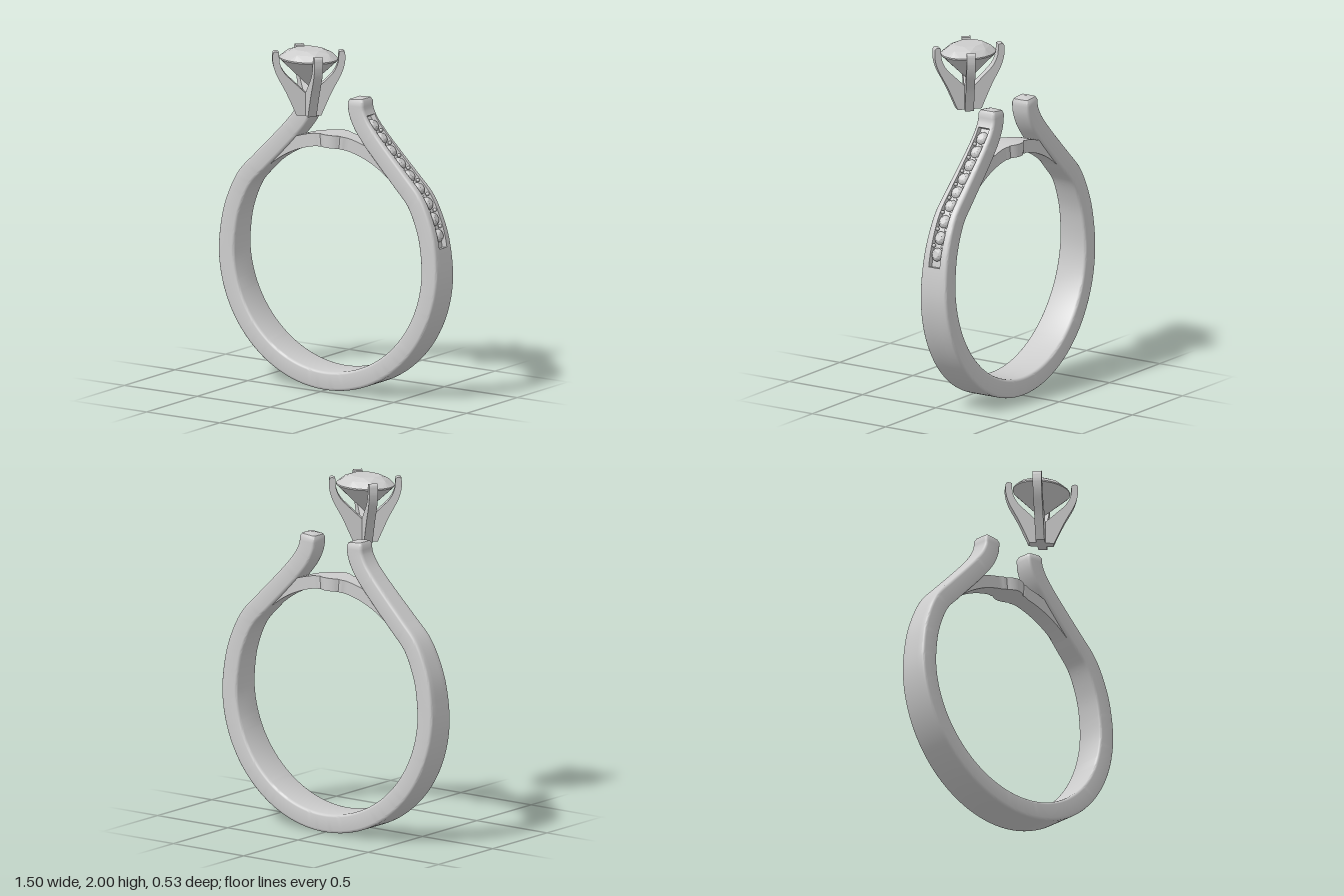
import * as THREE from 'three';
import { toCreasedNormals } from 'three/addons/utils/BufferGeometryUtils.js';
import { ConvexGeometry } from 'three/addons/geometries/ConvexGeometry.js';

const BAND_Z = -0.15, HALF_THICK = 0.054;
const V = (x, y, z = 0) => new THREE.Vector3(x, y, z);
const material = new THREE.MeshStandardMaterial({ color: 0xcccccc });
const stoneMaterial = new THREE.MeshStandardMaterial({ color: 0xcccccc, flatShading: true });

function add(parent, name, geometry, mat = material) {
  const mesh = new THREE.Mesh(geometry, mat);
  mesh.name = name;
  parent.add(mesh);
  return mesh;
}

// Skin a list of closed cross-sections and cap both ends
function loft(rings, crease = 0.7) {
  const out = [];
  const tri = (a, b, c) => {
    const area = b.clone().sub(a).cross(c.clone().sub(a)).length();
    if (area > 1e-10) for (const p of [a, b, c]) out.push(p.x, p.y, p.z);
  };
  const n = rings[0].length;
  const middle = (ring) => ring.reduce((s, p) => s.add(p), V(0, 0)).divideScalar(n);
  const first = rings[0], last = rings[rings.length - 1];
  const c0 = middle(first), c1 = middle(last);
  for (let j = 0; j < n; j++) {
    const k = (j + 1) % n;
    for (let i = 0; i < rings.length - 1; i++) {
      tri(rings[i][j], rings[i][k], rings[i + 1][k]);
      tri(rings[i][j], rings[i + 1][k], rings[i + 1][j]);
    }
    tri(c0, first[k], first[j]);
    tri(c1, last[j], last[k]);
  }
  const g = new THREE.BufferGeometry();
  g.setAttribute('position', new THREE.Float32BufferAttribute(out, 3));
  return toCreasedNormals(g, crease);
}

// Centre line of the band: right tip, round the bottom, left tip
function bandPath() {
  const half = [[0.167, 1.67], [0.172, 1.62], [0.205, 1.55], [0.265, 1.475], [0.375, 1.36],
    [0.48, 1.255], [0.58, 1.15], [0.645, 1.02]].map(([x, y]) => V(x, y));
  for (let deg = 12; deg >= -90; deg -= 17) {
    const a = THREE.MathUtils.degToRad(deg);
    half.push(V(0.695 * Math.cos(a), 0.75 + 0.695 * Math.sin(a)));
  }
  const mirrored = half.slice(0, -1).reverse().map((p) => V(-p.x, p.y));
  const curve = new THREE.CatmullRomCurve3([...half, ...mirrored]);
  curve.arcLengthDivisions = 800;
  return curve;
}

function frameAt(curve, u) {
  const p = curve.getPointAt(u), t = curve.getTangentAt(u);
  return { p, t, n: V(-t.y, t.x) };
}

// First position along the path that has dropped to height y
function findHeight(curve, y) {
  let u = 0;
  while (curve.getPointAt(u).y > y) u += 0.001;
  return u;
}

// Rounded rectangle section with an optional groove in its outer side
function bandSection({ p, t, n }, depth, scale = 1, push = 0) {
  const w = 0.115 - 0.035 * p.y, h = HALF_THICK, r = 0.016, g = 0.037;
  const pts = [[h, -g], [h - depth, -g], [h - depth, g], [h, g]];
  [[1, 1], [-1, 1], [-1, -1], [1, -1]].forEach(([sn, sz], q) => {
    for (let i = 0; i <= 3; i++) {
      const a = (q + i / 3) * Math.PI / 2;
      pts.push([sn * (h - r) + r * Math.cos(a), sz * (w - r) + r * Math.sin(a)]);
    }
  });
  return pts.map(([a, z]) => p.clone().addScaledVector(n, a * scale)
    .addScaledVector(t, push).add(V(0, 0, z * scale + BAND_Z)));
}

function bandGeometry(curve, u0, u1) {
  const N = 200, rings = [];
  const stops = [];
  for (let i = 0; i <= N; i++) stops.push([i / N, i / N > u0 && i / N < u1 ? 0.032 : 0]);
  for (const [u, before, after] of [[u0, 0, 0.032], [u1, 0.032, 0]]) {
    const at = stops.findIndex((s) => s[0] > u);
    stops.splice(at, 0, [u, before], [u, after]);
  }
  for (const [u, d] of stops) rings.push(bandSection(frameAt(curve, u), d));
  // low pyramid tops on the two tips
  const a = frameAt(curve, 0), b = frameAt(curve, 1);
  for (const [s, push] of [[0.84, 0.018], [0.04, 0.03]]) {
    rings.unshift(bandSection(a, 0, s, -push));
    rings.push(bandSection(b, 0, s, push));
  }
  return loft(rings);
}

// Arched bridge between the arms, swelling to a round pad in the middle
function bridgeGeometry() {
  const rings = [];
  for (let deg = 130; deg >= 50; deg -= 0.5) {
    const a = THREE.MathUtils.degToRad(deg), c = Math.cos(a), s = Math.sin(a);
    const x = 0.68 * c;
    const pad = Math.sqrt(Math.max(0, 0.087 ** 2 - x * x));
    const flare = 0.052 + 0.01 * Math.exp(-((Math.abs(x) - 0.075) ** 2) / 0.0005);
    const w = Math.max(flare, pad);
    rings.push([[0.718, -w], [0.718, w], [0.644, w], [0.644, -w]]
      .map(([r, z]) => V(r * c, 0.75 + r * s, BAND_Z + z)));
  }
  return loft(rings, 0.5);
}

// Faceted stone with its girdle at y = 0
function gemGeometry(rx, rz, crown, depth, sides) {
  const pts = [V(0, -depth, 0)];
  const ring = (count, r, y, turn) => {
    for (let i = 0; i < count; i++) {
      const a = ((i + turn) / count) * Math.PI * 2;
      pts.push(V(rx * r * Math.cos(a), y, rz * r * Math.sin(a)));
    }
  };
  ring(8, 0.53, crown, 0.5);
  ring(8, 0.8, crown * 0.62, 0);
  ring(sides, 1, 0, 0);
  ring(sides, 1, -crown * 0.15, 0);
  return new ConvexGeometry(pts);
}

// One claw, drawn as radius and height, then given thickness
function prongGeometry() {
  const s = new THREE.Shape();
  s.moveTo(0, 1.62);
  s.lineTo(0.07, 1.62);
  s.splineThru([[0.128, 1.75], [0.183, 1.855], [0.203, 1.92], [0.205, 1.965]]
    .map(([x, y]) => new THREE.Vector2(x, y)));
  s.quadraticCurveTo(0.205, 1.99, 0.188, 1.99);
  s.lineTo(0.17, 1.985);
  s.lineTo(0.166, 1.93);
  s.quadraticCurveTo(0.155, 1.88, 0.12, 1.845);
  s.lineTo(0.02, 1.75);
  s.lineTo(0, 1.74);
  const g = new THREE.ExtrudeGeometry(s, { depth: 0.05, bevelEnabled: false, curveSegments: 8 });
  g.translate(0, 0, -0.025);
  return toCreasedNormals(g, 0.5);
}

export function createModel() {
  const model = new THREE.Group();
  model.name = 'ring';

  const curve = bandPath();
  const u0 = findHeight(curve, 1.575), u1 = findHeight(curve, 0.885);
  add(model, 'band', bandGeometry(curve, u0, u1));
  add(model, 'bridge', bridgeGeometry());

  // Row of small stones with holding beads, and drill holes inside the band
  const row = new THREE.Group();
  row.name = 'stoneRow';
  model.add(row);
  const stone = gemGeometry(0.038, 0.036, 0.019, 0.03, 16);
  const bead = new THREE.SphereGeometry(0.011, 10, 8);
  const hole = new THREE.CircleGeometry(0.011, 16);
  const first = findHeight(curve, 1.52), last = findHeight(curve, 0.955);
  const uAt = (i) => first + (last - first) * i / 8;
  for (let i = 0; i < 9; i++) {
    const { p, n } = frameAt(curve, uAt(i));
    const gem = add(row, 'smallStone', stone, stoneMaterial);
    gem.position.copy(p).addScaledVector(n, 0.038).add(V(0, 0, BAND_Z));
    gem.quaternion.setFromUnitVectors(V(0, 1), n);
    if (i < 8) {
      const mid = frameAt(curve, uAt(i + 0.5));
      for (const side of [-1, 1]) {
        add(row, 'bead', bead).position.copy(mid.p)
          .addScaledVector(mid.n, 0.042).add(V(0, 0, BAND_Z + side * 0.029));
      }
    }
    if (i > 4) {
      for (const side of [-1, 1]) {
        const disc = add(model, 'drillHole', hole);
        disc.position.copy(p).addScaledVector(n, -HALF_THICK - 0.001).add(V(0, 0, BAND_Z));
        disc.position.x *= side;
        disc.quaternion.setFromUnitVectors(V(0, 0, 1), V(-n.x * side, -n.y));
      }
    }
  }

  // Separate head: oval stone held by four claws
  const head = new THREE.Group();
  head.name = 'head';
  head.position.z = 0.12;
  model.add(head);
  add(head, 'centreStone', gemGeometry(0.176, 0.145, 0.05, 0.165, 32), stoneMaterial).position.y = 1.95;
  const prong = prongGeometry(), lean = Math.atan2(0.125, 0.155);
  for (const angle of [lean, Math.PI - lean, Math.PI + lean, -lean]) {
    add(head, 'prong', prong).rotation.y = angle;
  }
  return model;
}
